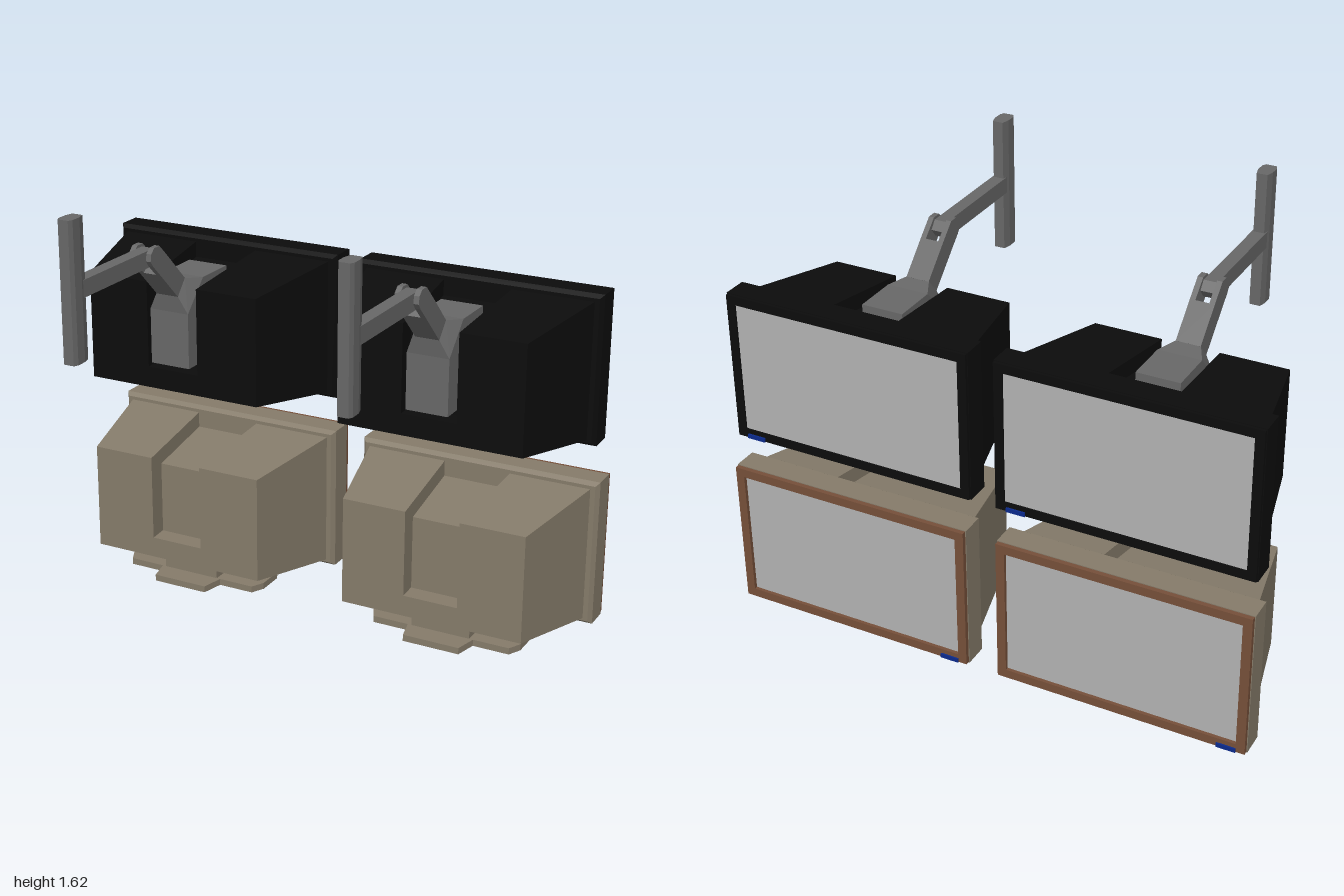
import * as THREE from 'three';

const mat = (name, color) => {
  const m = new THREE.MeshStandardMaterial({ color });
  m.name = name;
  return m;
};

function add(parent, name, geometry, material) {
  const m = new THREE.Mesh(geometry, material);
  m.name = name;
  parent.add(m);
  return m;
}

// Block between two rectangles [x0, x1, y0, y1]: one at zFront, one at zBack
function slab(zFront, a, zBack, b = a) {
  const g = new THREE.BoxGeometry(1, 1, 1).toNonIndexed();
  const p = g.attributes.position;
  for (let i = 0; i < p.count; i++) {
    const front = p.getZ(i) > 0, r = front ? a : b;
    p.setXYZ(i, p.getX(i) > 0 ? r[1] : r[0], p.getY(i) > 0 ? r[3] : r[2], front ? zFront : zBack);
  }
  g.computeVertexNormals();
  return g;
}

// Side profile of [z, y, halfWidth] points, extruded across x
function prism(points, x = 0) {
  const shape = new THREE.Shape(points.map(([z, y]) => new THREE.Vector2(z, y)));
  const src = new THREE.ExtrudeGeometry(shape, { depth: 1, bevelEnabled: false });
  const g = src.index ? src.toNonIndexed() : src;
  const p = g.attributes.position;
  for (let i = 0; i < p.count; i++) {
    const z = p.getX(i), y = p.getY(i), t = p.getZ(i);
    const w = points.find(q => Math.abs(q[0] - z) + Math.abs(q[1] - y) < 1e-4)[2];
    p.setXYZ(i, x + (1 - 2 * t) * w, y, z);
  }
  g.computeVertexNormals();
  return g;
}

// Horizontal outline of [x, z] points mirrored in x, raised from y0 to y1
function plan(half, y0, y1) {
  const pts = [...half, ...half.map(([x, z]) => [-x, z]).reverse()];
  const shape = new THREE.Shape(pts.map(([x, z]) => new THREE.Vector2(x, -z)));
  const g = new THREE.ExtrudeGeometry(shape, { depth: y1 - y0, bevelEnabled: false });
  return g.rotateX(-Math.PI / 2).translate(0, y0, 0);
}

// Rectangular ring on the screen side
function frameRing(w, y0, y1, t, zFront, zBack) {
  const s = new THREE.Shape([[-w, y0], [w, y0], [w, y1], [-w, y1]].map(q => new THREE.Vector2(...q)));
  s.holes.push(new THREE.Path([[-w + t, y0 + t], [-w + t, y1 - t], [w - t, y1 - t], [w - t, y0 + t]]
    .map(q => new THREE.Vector2(...q))));
  return new THREE.ExtrudeGeometry(s, { depth: zFront - zBack, bevelEnabled: false }).translate(0, 0, zBack);
}

function monitor(name, shell, trim, screenMat, lampMat, lampX, frameZ) {
  const g = new THREE.Group();
  g.name = name;
  // Tapered housing with a channel down its middle
  const zF = -0.065, zB = -0.465;
  add(g, 'housingLeft', slab(zF, [0.105, 0.352, 0.11, 0.52], zB, [0.13, 0.44, 0.055, 0.57]), shell);
  add(g, 'housingRight', slab(zF, [-0.352, -0.105, 0.11, 0.52], zB, [-0.44, -0.13, 0.055, 0.57]), shell);
  add(g, 'housingSill', slab(zF, [-0.105, 0.105, 0.11, 0.19], zB, [-0.13, 0.13, 0.055, 0.19]), shell);
  add(g, 'channelFloor', slab(-0.14, [-0.109, 0.109, 0.15, 0.47], zB, [-0.13, 0.13, 0.15, 0.51]), shell);
  // Bezel with chamfered shoulder
  const full = [-0.47, 0.47, 0.033, 0.595];
  add(g, 'bezelShoulder', slab(-0.458, [-0.457, 0.457, 0.046, 0.582], -0.475, full), shell);
  add(g, 'bezel', slab(-0.475, full, -0.565), shell);
  add(g, 'screenFrame', frameRing(0.467, 0.036, 0.592, 0.033, -0.565, frameZ), trim);
  add(g, 'screen', slab(-0.56, [-0.436, 0.436, 0.068, 0.56], -0.569), screenMat);
  add(g, 'powerLamp', slab(frameZ + 0.002, [lampX - 0.035, lampX + 0.035, 0.036, 0.052], frameZ - 0.006), lampMat);
  return g;
}

function stand(shell) {
  const g = new THREE.Group();
  g.name = 'stand';
  add(g, 'standBase', plan([[0.11, -0.08], [0.13, -0.165], [0.27, -0.165], [0.295, -0.215],
    [0.295, -0.32], [0.27, -0.375], [0.13, -0.375], [0.11, -0.53]].reverse(), 0, 0.025), shell);
  add(g, 'standNeck', slab(-0.165, [-0.115, 0.115, 0.02, 0.1], -0.378), shell);
  return g;
}

function wallArm(metal) {
  const g = new THREE.Group();
  g.name = 'wallArm';
  // Bracket wrapping the channel, narrowing to the forearm
  add(g, 'bracket', prism([[-0.055, 0.91, 0.08], [-0.055, 1.12, 0.08], [-0.045, 1.185, 0.045],
    [-0.095, 1.242, 0.045], [-0.165, 1.233, 0.08], [-0.335, 1.233, 0.08], [-0.335, 1.17, 0.08],
    [-0.145, 1.15, 0.08], [-0.145, 0.91, 0.08]].reverse()), metal);
  add(g, 'forearm', prism([[-0.045, 1.185, 0.045], [0.068, 1.295, 0.045],
    [0.01, 1.348, 0.045], [-0.097, 1.242, 0.045]]), metal);
  // Fork cheeks at the elbow
  for (const s of [-1, 1]) {
    add(g, 'elbowCheek', prism([[0.068, 1.295], [0.115, 1.34], [0.13, 1.36], [0.125, 1.387],
      [0.105, 1.405], [0.07, 1.405], [0.01, 1.348]].map(q => [...q, 0.01]), s * 0.035), metal);
  }
  add(g, 'upperArm', prism([[0.05, 1.365], [0.075, 1.333], [0.53, 1.333], [0.53, 1.395], [0.075, 1.395]]
    .map(q => [...q, 0.025])), metal);
  add(g, 'wallPost', plan([[0.02, 0.586], [0.028, 0.57], [0.028, 0.53], [0.02, 0.5]], 1.11, 1.615), metal);
  return g;
}

export function createModel() {
  const tan = mat('tanPlastic', 0x857b6a), black = mat('blackPlastic', 0x0c0c0c);
  const metal = mat('greyMetal', 0x676767), brown = mat('brownTrim', 0x754f39);
  const glass = mat('screenGrey', 0xb2b2b2), blue = mat('blueLamp', 0x0b2a8c);
  const root = new THREE.Group();
  root.name = 'monitorSet';

  // Desk monitors on stands
  for (const x of [-0.53, 0.53]) {
    const m = monitor('deskMonitor', tan, brown, glass, blue, -0.4, -0.582);
    m.add(stand(tan));
    m.position.x = x;
    root.add(m);
  }
  // Monitors hung from wall arms
  for (const x of [-0.53, 0.505]) {
    const unit = new THREE.Group();
    unit.name = 'wallUnit';
    const m = monitor('wallMonitor', black, black, glass, blue, 0.39, -0.575);
    add(m, 'neckSocket', slab(-0.165, [-0.115, 0.115, 0.085, 0.15], -0.378, [-0.115, 0.115, 0.06, 0.15]), black);
    m.position.y = 0.697;
    const arm = wallArm(metal);
    arm.position.x = -0.004;
    unit.add(m, arm);
    unit.position.x = x;
    root.add(unit);
  }
  return root;
}
